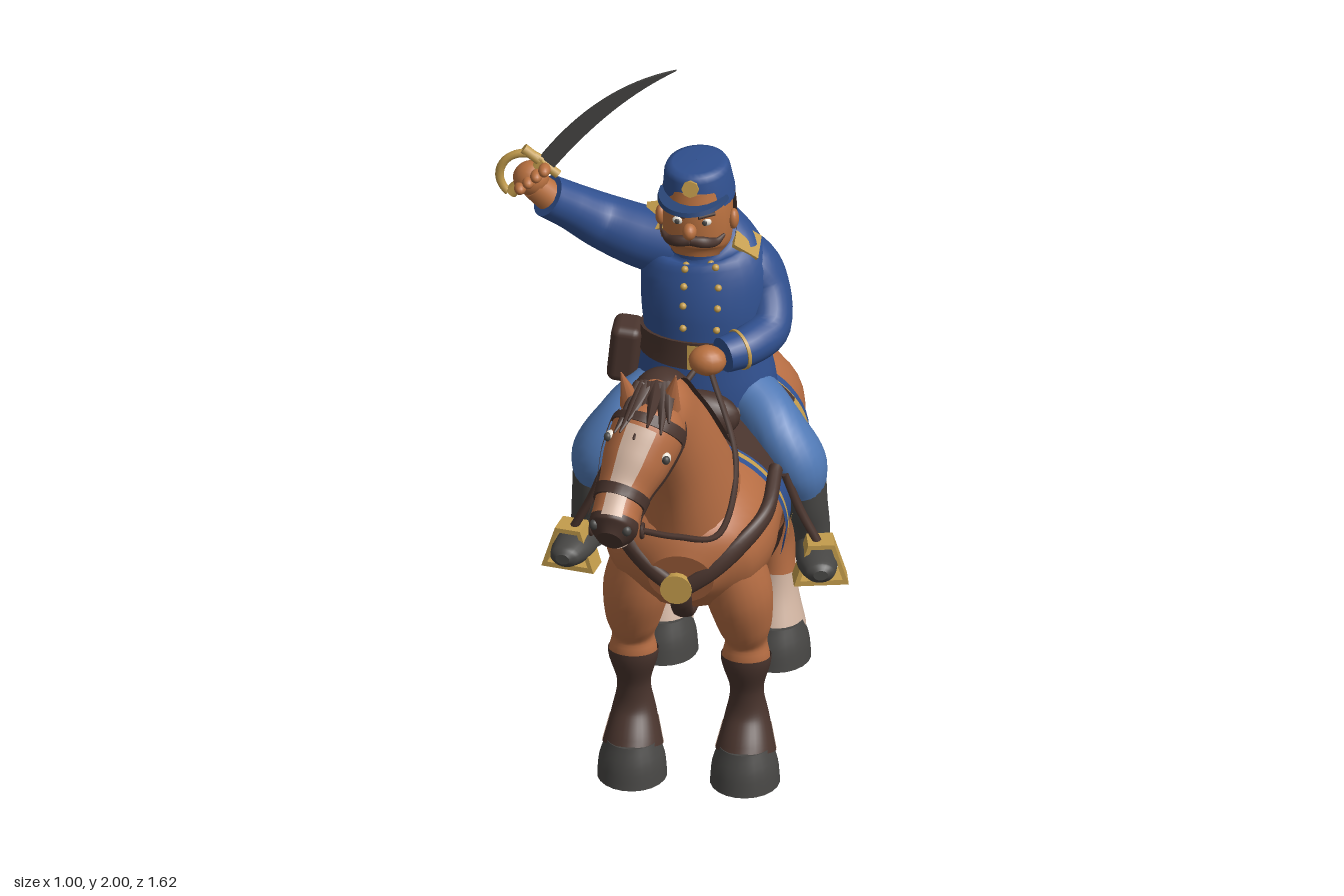
import * as THREE from 'three';
import { RoundedBoxGeometry } from 'three/addons/geometries/RoundedBoxGeometry.js';

const V = (p) => new THREE.Vector3(...p);
const paint = (name, color) => new THREE.MeshStandardMaterial({ name, color, side: THREE.DoubleSide });
const MID = 0.08; // the mount's centre line in x

// A variable elliptical path: points are [x, y, z, radiusU, radiusV]
function path(pts, side = [1, 0, 0]) {
  const line = new THREE.CatmullRomCurve3(pts.map((p) => V(p.slice(0, 3))));
  const size = new THREE.CatmullRomCurve3(pts.map((p) => V([p[3], p[4] ?? p[3], 0])), false, 'catmullrom', 0.5);
  return (t, deg, grow = 0) => {
    const c = line.getPoint(t), d = line.getTangent(t), r = size.getPoint(t), s = V(side);
    const u = s.addScaledVector(d, -s.dot(d)).normalize(), v = d.clone().cross(u), a = deg * Math.PI / 180;
    if (deg === null) return c;
    return c.addScaledVector(u, Math.cos(a) * (Math.max(r.x, 0.002) + grow))
      .addScaledVector(v, Math.sin(a) * (Math.max(r.y, 0.002) + grow));
  };
}

export function createModel() {
  const model = new THREE.Group();
  const coat = paint('chestnut', 0xb66d43), dark = paint('darkBrown', 0x49342d), blue = paint('uniformBlue', 0x30508f);
  const pale = paint('trouserBlue', 0x5079b5), gold = paint('brass', 0xc39c4c), black = paint('charcoal', 0x474644);
  const white = paint('paleSocks', 0xd2b5a2), skinTone = paint('skin', 0xb8703f), navy = paint('capBrim', 0x2a4677);
  const eyeWhite = paint('eyeWhite', 0xe9e2d6);

  const add = (name, geo, mat, pos = [0, 0, 0], rot = [0, 0, 0], scale = [1, 1, 1]) => {
    const m = new THREE.Mesh(geo, mat);
    m.name = name;
    m.position.set(...pos); m.rotation.set(...rot); m.scale.set(...scale);
    model.add(m);
    return m;
  };
  const ball = (name, pos, r, mat) => add(name, new THREE.SphereGeometry(1, 16, 12), mat, pos, [0, 0, 0], r);
  const bar = (name, a, b, r0, r1, mat, n = 8) => {
    const d = V(b).sub(V(a));
    const m = add(name, new THREE.CylinderGeometry(r1, r0, d.length(), n), mat, V(a).addScaledVector(d, 0.5).toArray());
    m.quaternion.setFromUnitVectors(V([0, 1, 0]), d.normalize());
  };
  const cord = (name, pts, r, mat) =>
    add(name, new THREE.TubeGeometry(new THREE.CatmullRomCurve3(pts.map(V)), 32, r, 6), mat);
  const mirror = (s, pts) => pts.map(([x, ...rest]) => [MID + s * x, ...rest]);

  // Covers a stretch of a path, either all round (with end caps) or as a thin patch
  function cover(name, at, mat, { t0 = 0, t1 = 1, a0 = 0, a1 = 360, grow = 0, rows = 24, cols = 22 } = {}) {
    const full = a1 - a0 === 360, w = full ? cols : cols + 1, pos = [], idx = [];
    const ring = (t) => {
      for (let j = 0; j < w; j++) pos.push(...at(t, a0 + (a1 - a0) * j / cols, grow).toArray());
    };
    for (let i = 0; i <= rows; i++) ring(t0 + (t1 - t0) * i / rows);
    for (let i = 0; i < rows; i++) for (let j = 0; j < cols; j++) {
      const a = i * w + j, b = i * w + (j + 1) % w;
      idx.push(a, b, b + w, a, b + w, a + w);
    }
    if (full) for (const end of [0, 1]) {
      const base = pos.length / 3;
      ring(end ? t1 : t0);
      pos.push(...at(end ? t1 : t0, null).toArray());
      for (let j = 0; j < w; j++) {
        const a = base + j, b = base + (j + 1) % w;
        idx.push(...(end ? [a, b, base + w] : [b, a, base + w]));
      }
    }
    const geo = new THREE.BufferGeometry();
    geo.setAttribute('position', new THREE.Float32BufferAttribute(pos, 3));
    geo.setIndex(idx);
    geo.computeVertexNormals();
    return add(name, geo, mat);
  }
  const limb = (name, pts, mat, side, opts) => cover(name, path(pts, side), mat, opts);

  // ---- Horse barrel, neck and head
  const body = path([[MID, 0.81, -0.6, 0.05], [MID, 0.82, -0.565, 0.15, 0.13], [MID, 0.8, -0.45, 0.23, 0.21],
    [MID, 0.79, -0.3, 0.24, 0.215], [MID, 0.77, -0.1, 0.235, 0.21], [MID, 0.76, 0.1, 0.235, 0.22],
    [MID, 0.76, 0.25, 0.235, 0.21], [MID, 0.74, 0.37, 0.19, 0.17], [MID, 0.72, 0.435, 0.09, 0.09]]);
  cover('horseBody', body, coat, { rows: 40, cols: 32 });
  const neck = path([[MID, 0.82, 0.24, 0.17, 0.2], [MID, 0.95, 0.29, 0.135, 0.18], [0.07, 1.08, 0.355, 0.108, 0.148],
    [0.05, 1.2, 0.43, 0.092, 0.122], [0.03, 1.3, 0.5, 0.08, 0.1], [0.02, 1.34, 0.55, 0.045, 0.05]]);
  cover('horseNeck', neck, coat);
  cover('mane', neck, dark, { t0: 0.12, a0: 46, a1: 160, grow: 0.012 });
  const head = path([[0.02, 1.31, 0.5, 0.06, 0.08], [0.01, 1.26, 0.55, 0.098, 0.12], [-0.02, 1.19, 0.615, 0.094, 0.11],
    [-0.045, 1.13, 0.67, 0.074, 0.087], [-0.06, 1.085, 0.72, 0.066, 0.08], [-0.067, 1.05, 0.757, 0.066, 0.082],
    [-0.072, 1.03, 0.785, 0.036, 0.048]]);
  cover('horseHead', head, coat, { t1: 0.74 });
  cover('muzzle', head, dark, { t0: 0.74 });
  cover('blaze', head, white, { t0: 0.22, t1: 0.78, a0: 66, a1: 114, grow: 0.004, cols: 6 });
  cover('lowerLip', head, white, { t0: 0.84, t1: 0.97, a0: 232, a1: 308, grow: 0.004, cols: 6 });
  for (const s of [1, -1]) {
    const turn = (a) => (s > 0 ? a : 180 - a);
    const eye = head(0.29, turn(30), -0.004), pupil = head(0.3, turn(32), 0.006), nostril = head(0.9, turn(35));
    ball('horseEye', eye.toArray(), [0.017, 0.018, 0.016], eyeWhite);
    ball('horsePupil', pupil.toArray(), [0.011, 0.013, 0.012], black);
    ball('nostril', nostril.toArray(), [0.013, 0.015, 0.013], black);
    bar('horseEar', [0.01 + s * 0.05, 1.32, 0.54], [0.01 + s * 0.075, 1.445, 0.585], 0.034, 0.002, coat);
    // Bridle cheek strap and bit ring
    cover('cheekStrap', head, dark, { t0: 0.1, t1: 0.74, a0: turn(4) - 6, a1: turn(4) + 6, grow: 0.007, cols: 4 });
    add('bitRing', new THREE.TorusGeometry(0.018, 0.006, 6, 14), dark, [-0.06 + s * 0.07, 1.03, 0.72], [0, Math.PI / 2, 0]);
  }
  cover('browBand', head, dark, { t0: 0.15, t1: 0.2, grow: 0.007, rows: 3 });
  cover('noseBand', head, dark, { t0: 0.53, t1: 0.61, grow: 0.007, rows: 3 });
  for (let i = 0; i < 9; i++) {
    const f = i / 8 - 0.5;
    bar('forelock', [0.02 + f * 0.07, 1.375, 0.53], [f * 0.15, 1.295 + (i % 3) * 0.02, 0.655 + (i % 2) * 0.03],
      0.028, 0.003, dark, 6);
  }

  // ---- Legs
  for (const s of [1, -1]) {
    const fore = path(mirror(s, [[0.1, 0.8, 0.28, 0.07, 0.11], [0.138, 0.62, 0.28, 0.092, 0.1], [0.152, 0.5, 0.255, 0.077, 0.077],
      [0.155, 0.43, 0.235, 0.058, 0.056], [0.155, 0.37, 0.235, 0.066, 0.056], [0.155, 0.27, 0.22, 0.043, 0.042],
      [0.155, 0.18, 0.215, 0.058, 0.057], [0.155, 0.09, 0.245, 0.08, 0.085]]));
    cover('foreleg', fore, coat, { rows: 32 });
    cover('forelegStocking', fore, dark, { t0: 0.54, a0: -30, a1: 200, grow: 0.003 });
    cover('pasternMark', fore, white, { t0: 0.89, t1: 1, a0: 180, a1: 360 - 1, grow: 0.005 });
    const hind = path(mirror(s, [[0.06, 0.9, -0.42, 0.05, 0.06], [0.12, 0.72, -0.41, 0.108, 0.15], [0.148, 0.57, -0.43, 0.088, 0.117],
      [0.155, 0.46, -0.465, 0.064, 0.072], [0.155, 0.38, -0.475, 0.06, 0.056], [0.155, 0.3, -0.467, 0.048, 0.05],
      [0.155, 0.2, -0.46, 0.056, 0.058], [0.155, 0.09, -0.448, 0.08, 0.085]]));
    cover('hindLeg', hind, coat, { t1: 0.78, rows: 32 });
    cover('hindSock', hind, white, { t0: 0.78 });
    for (const z of [0.26, -0.43])
      limb('hoof', mirror(s, [[0.155, 0.115, z, 0.072, 0.074], [0.155, 0.06, z, 0.09, 0.093],
        [0.155, 0, z, 0.096, 0.104]]), black, [1, 0, 0], { rows: 6 });
  }

  // ---- Tail with ragged tips
  limb('tail', [[0.08, 0.92, -0.53, 0.05, 0.05], [0.06, 0.94, -0.62, 0.08, 0.068], [0.03, 0.89, -0.695, 0.105, 0.1],
    [0.02, 0.75, -0.712, 0.095, 0.1], [0.04, 0.58, -0.695, 0.09, 0.1], [0.06, 0.44, -0.665, 0.085, 0.09],
    [0.07, 0.34, -0.65, 0.06, 0.07]], dark);
  for (let i = 0; i < 10; i++) {
    const a = i * 0.628, c = Math.cos(a), d = Math.sin(a);
    bar('tailTip', [0.065 + c * 0.045, 0.42, -0.66 + d * 0.05], [0.075 + c * 0.075, 0.24 + (i % 3) * 0.025, -0.65 + d * 0.065],
      0.035, 0.002, dark, 6);
  }

  // ---- Blanket, saddle and harness
  cover('saddleBlanket', body, blue, { t0: 0.375, t1: 0.71, a0: -20, a1: 200, grow: 0.022, cols: 32 });
  for (const m of [0, 1]) {
    const span = (a, b) => (m ? { a0: 180 - b, a1: 180 - a } : { a0: a, a1: b });
    cover('blanketHem', body, gold, { t0: 0.395, t1: 0.7, ...span(-11, -6), grow: 0.027, cols: 3 });
    for (const t of [0.395, 0.685])
      cover('blanketEdge', body, gold, { t0: t, t1: t + 0.015, ...span(-11, 65), grow: 0.027, rows: 2 });
  }
  cover('saddleFlaps', body, dark, { t0: 0.4, t1: 0.68, a0: 32, a1: 148, grow: 0.03 });
  ball('saddlePommel', [MID, 1.035, 0.085], [0.12, 0.075, 0.06], dark);
  ball('saddleSeat', [MID, 1.0, -0.1], [0.15, 0.05, 0.17], dark);
  cover('girth', body, dark, { t0: 0.585, t1: 0.66, a0: 175, a1: 365, grow: 0.012, rows: 4 });
  for (const s of [1, -1])
    limb('breastStrap', mirror(s, [[0, 0.69, 0.45, 0.024, 0.012], [0.085, 0.75, 0.435, 0.026, 0.016],
      [0.16, 0.815, 0.392, 0.028, 0.018], [0.218, 0.87, 0.31, 0.028, 0.02], [0.228, 0.93, 0.17, 0.028, 0.02]]),
    dark, [0, 1, 0], { cols: 12 });
  limb('chestStrap', [[MID, 0.7, 0.442, 0.03, 0.008], [MID, 0.63, 0.42, 0.03, 0.014], [MID, 0.575, 0.36, 0.03, 0.016],
    [MID, 0.545, 0.24, 0.03, 0.012], [MID, 0.535, 0.1, 0.03, 0.01]], dark, [1, 0, 0], { cols: 10 });
  add('breastMedallion', new THREE.CylinderGeometry(0.044, 0.044, 0.02, 16), gold, [MID - 0.01, 0.7, 0.453], [Math.PI / 2, 0, 0]);
  cord('leftRein', [[0.01, 1.03, 0.72], [0.09, 0.96, 0.62], [0.19, 0.89, 0.47], [0.21, 1.0, 0.26], [0.12, 1.19, 0.1]], 0.009, dark);
  cord('rightRein', [[-0.13, 1.03, 0.71], [-0.11, 0.93, 0.6], [-0.09, 0.88, 0.45], [-0.07, 1.0, 0.26], [0.08, 1.19, 0.1]], 0.009, dark);

  // ---- Rider's coat
  const torso = path([[MID, 0.985, -0.13, 0.2, 0.155], [MID, 1.07, -0.125, 0.19, 0.15], [MID, 1.17, -0.125, 0.17, 0.143],
    [MID, 1.28, -0.14, 0.18, 0.155], [MID, 1.38, -0.155, 0.178, 0.147], [0.07, 1.46, -0.16, 0.135, 0.122],
    [0.06, 1.51, -0.135, 0.08, 0.088]]);
  cover('riderCoat', torso, blue, { cols: 28 });
  cover('belt', torso, dark, { t0: 0.285, t1: 0.385, grow: 0.01, rows: 4, cols: 28 });
  cover('collar', torso, blue, { t0: 0.95, t1: 1, grow: 0.006, rows: 3 });
  cover('buckle', torso, gold, { t0: 0.29, t1: 0.38, a0: 260, a1: 280, grow: 0.016, rows: 2, cols: 4 });
  for (let i = 0; i < 5; i++) for (const a of [255, 285])
    ball('button', torso(0.44 + i * 0.1, a, 0.002).toArray(), [0.01, 0.01, 0.01], gold);
  add('leftEpaulette', new THREE.BoxGeometry(0.08, 0.012, 0.085), gold, [0.192, 1.47, -0.125], [0.3, 0, -0.65]);
  add('rightEpaulette', new THREE.BoxGeometry(0.065, 0.012, 0.095), gold, [-0.06, 1.506, -0.17], [0.45, 0, 0.3]);
  add('holster', new RoundedBoxGeometry(0.085, 0.17, 0.11, 3, 0.025), dark, [-0.14, 1.115, -0.12], [0, 0, -0.1]);

  // ---- Arms and hands
  const left = path([[0.15, 1.405, -0.16, 0.07, 0.08], [0.2, 1.38, -0.165, 0.073, 0.085], [0.24, 1.31, -0.15, 0.068, 0.08],
    [0.256, 1.235, -0.07, 0.062, 0.062], [0.21, 1.22, 0.01, 0.056, 0.056], [0.15, 1.215, 0.06, 0.05, 0.05]]);
  cover('leftSleeve', left, blue);
  cover('cuffBraid', left, gold, { t0: 0.86, t1: 0.88, grow: 0.004, rows: 2 });
  const right = path([[0.02, 1.41, -0.17, 0.09], [-0.1, 1.43, -0.185, 0.087], [-0.21, 1.465, -0.195, 0.077],
    [-0.29, 1.525, -0.16, 0.065], [-0.355, 1.575, -0.125, 0.06]], [0, 0, 1]);
  cover('rightSleeve', right, blue);
  ball('leftHand', [0.11, 1.21, 0.085], [0.052, 0.042, 0.045], skinTone);
  bar('rightWrist', [-0.35, 1.57, -0.13], [-0.39, 1.61, -0.12], 0.043, 0.04, skinTone, 12);
  ball('rightHand', [-0.4, 1.63, -0.12], [0.05, 0.05, 0.045], skinTone);
  for (let i = 0; i < 4; i++)
    ball('finger', [-0.425 + i * 0.022, 1.618 + i * 0.02, -0.085], [0.017, 0.017, 0.028], skinTone);

  // ---- Sabre
  bar('sabreGrip', [-0.455, 1.585, -0.115], [-0.36, 1.69, -0.115], 0.018, 0.018, gold, 10);
  bar('crossGuard', [-0.42, 1.725, -0.115], [-0.325, 1.65, -0.115], 0.015, 0.013, gold);
  add('knuckleGuard', new THREE.TorusGeometry(0.07, 0.012, 8, 20, Math.PI), gold, [-0.416, 1.64, -0.115], [0, 0, 0.84]);
  const edge = new THREE.Shape();
  edge.moveTo(-0.383, 1.69);
  edge.quadraticCurveTo(-0.22, 1.935, 0, 2);
  edge.quadraticCurveTo(-0.18, 1.89, -0.345, 1.66);
  add('sabreBlade', new THREE.ExtrudeGeometry(edge, { depth: 0.01, bevelEnabled: false, curveSegments: 16 }), black, [0, 0, -0.12]);

  // ---- Rider's legs, boots and stirrups
  const trapezoid = (p, w0, w1, y0, y1) => {
    p.moveTo(-w0, y0); p.lineTo(w0, y0); p.lineTo(w1, y1); p.lineTo(-w1, y1); p.closePath();
    return p;
  };
  const frame = trapezoid(new THREE.Shape(), 0.075, 0.036, 0, 0.125);
  frame.holes.push(trapezoid(new THREE.Path(), 0.058, 0.028, 0.015, 0.112));
  for (const s of [1, -1]) {
    const leg = path(mirror(s, [[0.06, 1.04, -0.13, 0.075, 0.09], [0.145, 1.0, -0.07, 0.08, 0.09], [0.215, 0.945, -0.005, 0.08, 0.093],
      [0.272, 0.865, 0.02, 0.078, 0.088], [0.285, 0.785, 0.015, 0.06, 0.064]]));
    cover('trouserLeg', leg, pale);
    const out = s > 0 ? -45 : 225;
    cover('trouserStripe', leg, gold, { t0: 0.2, t1: 0.95, a0: out - 4, a1: out + 4, grow: 0.004, cols: 3 });
    limb('boot', mirror(s, [[0.288, 0.82, 0.015, 0.06, 0.064], [0.295, 0.74, 0.01, 0.056, 0.06], [0.305, 0.66, -0.005, 0.05, 0.055],
      [0.31, 0.575, -0.005, 0.047, 0.055]]), black);
    limb('bootFoot', mirror(s, [[0.308, 0.605, -0.045, 0.035, 0.035], [0.315, 0.607, 0.02, 0.05, 0.045], [0.335, 0.613, 0.11, 0.056, 0.045],
      [0.352, 0.618, 0.18, 0.04, 0.03], [0.355, 0.618, 0.195, 0.02, 0.015]]), black);
    const [cx] = mirror(s, [[0.335]])[0];
    add('stirrup', new THREE.ExtrudeGeometry(frame, { depth: 0.07, bevelEnabled: false }), gold, [cx, 0.552, 0.065], [0, s * 0.2, 0]);
    limb('stirrupLeather', mirror(s, [[0.245, 0.88, 0.1, 0.012, 0.02], [0.285, 0.77, 0.1, 0.012, 0.018],
      [0.335, 0.67, 0.1, 0.012, 0.016]]), dark, [1, 0, 0], { cols: 8, rows: 8 });
  }

  // ---- Rider's head
  const face = path([[0.06, 1.45, -0.09, 0.066], [0.06, 1.485, -0.1, 0.09, 0.09], [0.06, 1.54, -0.105, 0.097, 0.102],
    [0.06, 1.6, -0.11, 0.095, 0.107], [0.06, 1.66, -0.115, 0.086, 0.1]]);
  cover('riderHead', face, skinTone);
  cover('hair', face, dark, { t0: 0.22, t1: 0.9, a0: 0, a1: 180, grow: 0.01 });
  ball('nose', [0.05, 1.562, 0.0], [0.02, 0.024, 0.026], skinTone);
  for (const s of [1, -1]) {
    ball('riderEar', [0.06 + s * 0.1, 1.56, -0.09], [0.015, 0.03, 0.022], skinTone);
    ball('riderEye', [0.055 + s * 0.038, 1.588, -0.015], [0.016, 0.012, 0.01], eyeWhite);
    ball('riderPupil', [0.053 + s * 0.038, 1.588, -0.006], [0.007, 0.008, 0.004], black);
    bar('eyebrow', [0.055 + s * 0.018, 1.607, -0.004], [0.055 + s * 0.062, 1.61, -0.025], 0.008, 0.006, dark);
    limb('moustache', [[0.052, 1.535, 0.002, 0.014], [0.053 + s * 0.035, 1.53, -0.002, 0.016],
      [0.054 + s * 0.066, 1.522, -0.025, 0.012], [0.055 + s * 0.086, 1.535, -0.045, 0.004]], dark, [0, 1, 0], { cols: 10 });
  }

  // ---- Cap with a softly rounded crown
  const crown = [[0.106, 0], [0.105, 0.025], [0.096, 0.085], [0.088, 0.1], [0.07, 0.106], [0.001, 0.107]];
  add('capCrown', new THREE.LatheGeometry(crown.map((p) => new THREE.Vector2(...p)), 28), blue,
    [0.062, 1.615, -0.122], [0.05, 0, 0.06], [0.94, 1, 1]);
  add('capBrim', new THREE.CylinderGeometry(0.096, 0.1, 0.012, 28, 1, false, -Math.PI / 2, Math.PI), navy,
    [0.053, 1.64, -0.085], [0.12, -0.2, 0.05], [1, 1, 1.15]);
  add('capBadge', new THREE.CylinderGeometry(0.024, 0.024, 0.009, 8), gold, [0.05, 1.685, -0.018], [Math.PI / 2 - 0.15, 0, 0]);
  return model;
}
